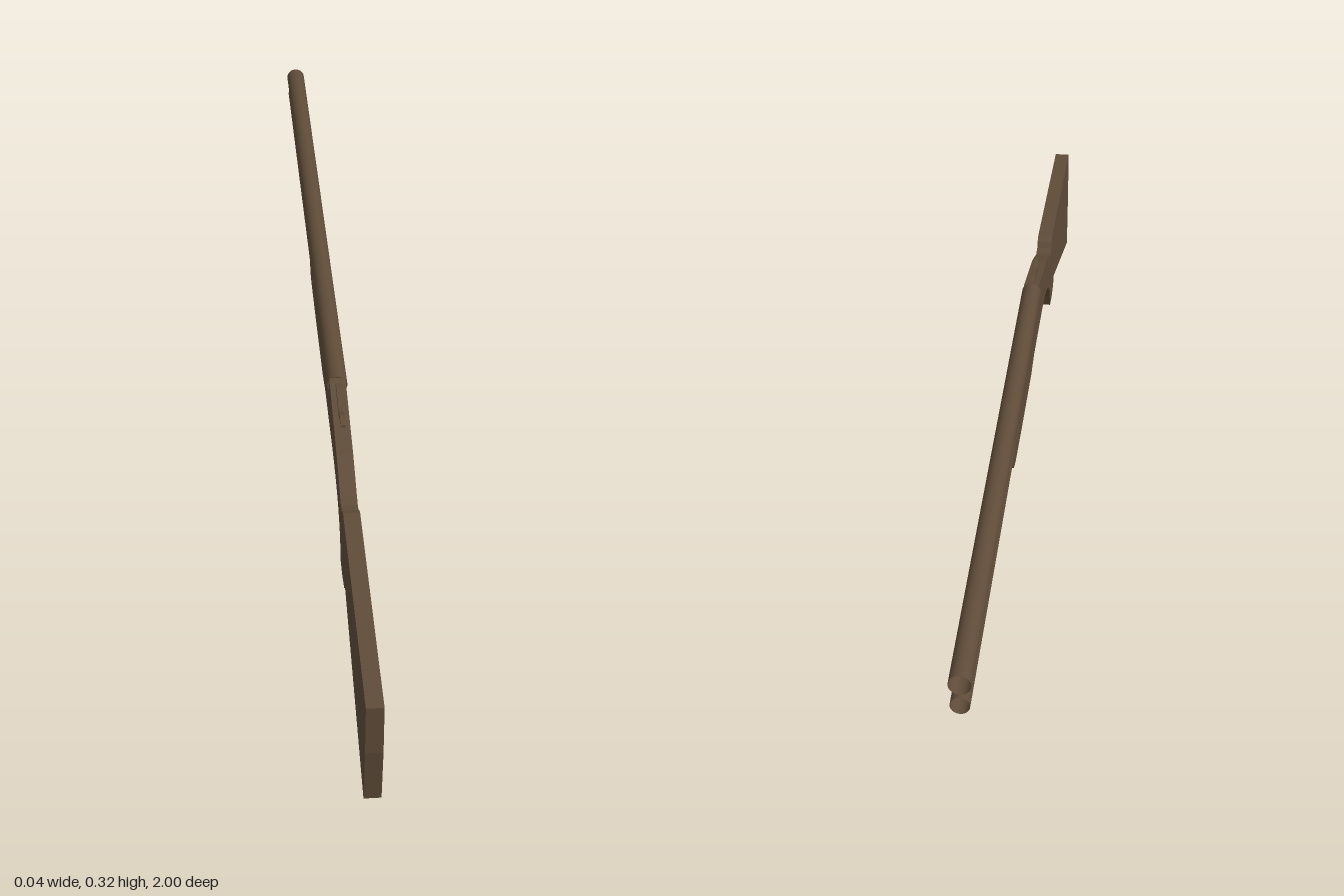
import * as THREE from 'three';

const material = new THREE.MeshStandardMaterial({ color: 0x5f4c39 });
const hollow = new THREE.MeshStandardMaterial({ color: 0x5f4c39, side: THREE.DoubleSide });

// Extrudes a side profile of [z, y] points to a given width, centred on x = 0
function plate(name, points, width) {
  const shape = new THREE.Shape(points.map(([z, y]) => new THREE.Vector2(z, y)));
  const geometry = new THREE.ExtrudeGeometry(shape, { depth: width, bevelEnabled: false });
  geometry.translate(0, 0, -width / 2).rotateY(-Math.PI / 2);
  const mesh = new THREE.Mesh(geometry, material);
  mesh.name = name;
  return mesh;
}

// Thin rod following [z, y] points in the middle plane
function rod(name, points, radius, closed = false) {
  const curve = new THREE.CatmullRomCurve3(
    points.map(([z, y]) => new THREE.Vector3(0, y, z)), closed, 'centripetal');
  const mesh = new THREE.Mesh(new THREE.TubeGeometry(curve, 24, radius, 6, closed), material);
  mesh.name = name;
  return mesh;
}

// Tube open at the muzzle and closed at the breech
function barrel(name, y, radius, back) {
  const group = new THREE.Group();
  group.name = name;
  const length = back + 1;
  const tube = new THREE.Mesh(
    new THREE.CylinderGeometry(radius, radius, length, 24, 1, true).rotateX(Math.PI / 2), hollow);
  tube.name = name + 'Tube';
  tube.position.set(0, y, back - length / 2);
  const breech = new THREE.Mesh(new THREE.CircleGeometry(radius, 24), hollow);
  breech.name = name + 'Breech';
  breech.position.set(0, y, back);
  group.add(tube, breech);
  return group;
}

export function createModel() {
  const model = new THREE.Group();
  model.name = 'doubleBarrelShotgun';

  // Stock, grip, receiver and forend in one flat outline
  model.add(plate('stockAndReceiver', [
    [1, 0.222], [0.997, 0.12], [0.98, 0], [0.595, 0.13], [0.58, 0.115],
    [0.54, 0.107], [0.502, 0.11], [0.492, 0.138], [0.475, 0.165], [0.445, 0.187],
    [0.4, 0.204], [0.345, 0.213], [0.29, 0.217], [0.115, 0.22], [0.06, 0.211],
    [-0.14, 0.214], [-0.26, 0.219], [-0.292, 0.228], [-0.295, 0.25],
    [-0.275, 0.258], [-0.275, 0.298], [0.215, 0.3], [0.225, 0.319],
    [0.3, 0.3], [0.4, 0.275], [0.44, 0.26], [0.48, 0.243], [0.5, 0.237],
    [0.522, 0.239], [0.53, 0.25], [0.545, 0.256],
  ], 0.03));

  // Over-and-under barrels
  model.add(barrel('upperBarrel', 0.303, 0.019, 0.225));
  model.add(barrel('lowerBarrel', 0.261, 0.0165, -0.2));

  // Trigger guard and trigger
  model.add(rod('triggerGuard', [
    [0.385, 0.206], [0.365, 0.185], [0.35, 0.165], [0.325, 0.159], [0.295, 0.166],
    [0.276, 0.185], [0.278, 0.203], [0.295, 0.219],
  ], 0.004));
  model.add(rod('trigger', [[0.335, 0.215], [0.342, 0.202], [0.353, 0.193]], 0.003));

  // Opening lever on top of the receiver
  model.add(plate('topLever', [
    [0.24, 0.318], [0.25, 0.312], [0.315, 0.299], [0.335, 0.307], [0.36, 0.305],
    [0.36, 0.31], [0.338, 0.316], [0.315, 0.309], [0.255, 0.321],
  ], 0.009));

  return model;
}
